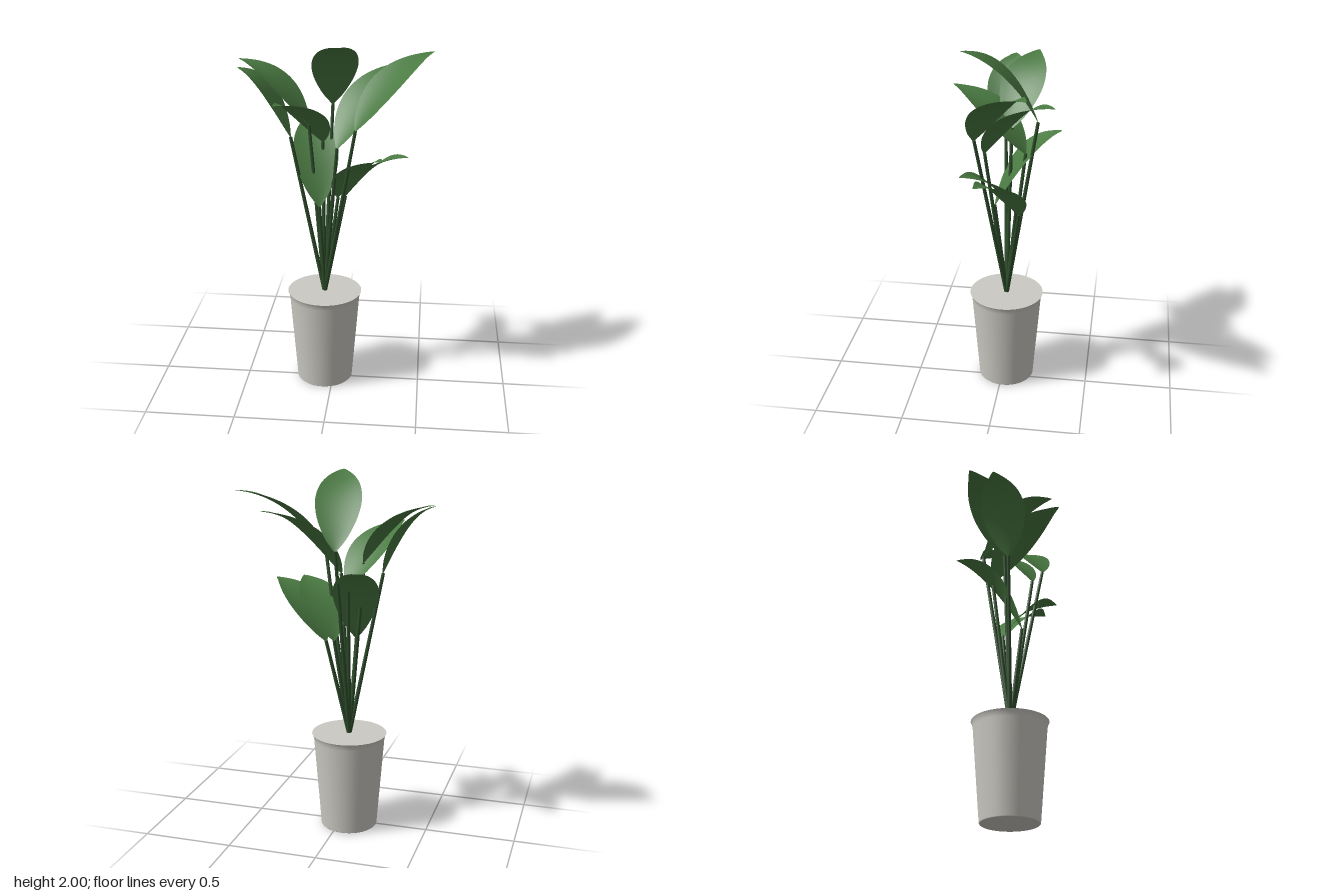
import * as THREE from 'three';

const ROOT = new THREE.Vector3(-0.05, 0.54, -0.02);

const potMat = new THREE.MeshStandardMaterial({ color: 0xcccac3, side: THREE.DoubleSide });
const stemMat = new THREE.MeshStandardMaterial({ color: 0x2f4f2c });
const leafMat = new THREE.MeshStandardMaterial({ color: 0x4a7a42, side: THREE.DoubleSide });

// Each leaf: base (top of its stem) and tip
const LEAVES = [
  [[0.13, 1.55, 0.13], [0.53, 1.91, -0.19]],
  [[0.03, 1.44, 0.09], [0.35, 1.82, -0.31]],
  [[-0.02, 1.61, -0.19], [0.05, 2.0, 0.21]],
  [[-0.135, 1.53, -0.035], [-0.53, 1.86, -0.14]],
  [[-0.23, 1.47, 0.01], [-0.515, 1.84, -0.01]],
  [[-0.07, 1.41, -0.12], [-0.275, 1.72, 0.31]],
  [[-0.07, 1.09, 0.05], [-0.16, 1.52, -0.31]],
  [[0.06, 1.1, -0.1], [0.41, 1.4, 0.09]],
  [[0.02, 1.1, -0.08], [0.28, 1.4, 0.185]],
];

// Half width of a leaf along its length
const outline = new THREE.SplineCurve([
  [0, 0.008], [0.1, 0.062], [0.25, 0.107], [0.42, 0.125], [0.6, 0.11],
  [0.76, 0.074], [0.88, 0.038], [0.95, 0.018], [1, 0.001],
].map(([t, w]) => new THREE.Vector2(t, w)));

// Arched blade: rises steeply from the base and flattens towards the tip
function leafGeometry(base, tip) {
  const span = tip.clone().sub(base);
  const bend = base.clone().add(new THREE.Vector3(span.x * 0.44, span.y * 0.9, span.z * 0.44));
  const midrib = new THREE.QuadraticBezierCurve3(base, bend, tip);
  const side = new THREE.Vector3(span.z, 0, -span.x).normalize();

  const geo = new THREE.PlaneGeometry(2, 1, 8, 28);
  const pos = geo.attributes.position;
  for (let i = 0; i < pos.count; i++) {
    const across = pos.getX(i);
    const { x: t, y: half } = outline.getPoint(pos.getY(i) + 0.5);
    const along = THREE.MathUtils.clamp(t, 0, 1);
    const p = midrib.getPoint(along);
    const up = new THREE.Vector3().crossVectors(midrib.getTangent(along), side);
    if (up.y < 0) up.negate();
    p.addScaledVector(side, across * half);
    p.addScaledVector(up, 0.12 * half * across * across);
    pos.setXYZ(i, p.x, p.y, p.z);
  }
  geo.computeVertexNormals();
  return geo;
}

// Straight, slightly tapered stem
function stemMesh(top) {
  const dir = top.clone().sub(ROOT);
  const mesh = new THREE.Mesh(new THREE.CylinderGeometry(0.009, 0.012, dir.length(), 10), stemMat);
  mesh.position.copy(ROOT).addScaledVector(dir, 0.5);
  mesh.quaternion.setFromUnitVectors(new THREE.Vector3(0, 1, 0), dir.normalize());
  mesh.name = 'stem';
  return mesh;
}

export function createModel() {
  const model = new THREE.Group();
  model.name = 'pottedPlant';

  // Tapered pot with a small flared lip
  const pot = new THREE.Group();
  pot.name = 'pot';
  pot.position.set(ROOT.x, 0, ROOT.z);
  const profile = [[0.155, 0], [0.159, 0.004], [0.199, 0.515], [0.203, 0.538], [0.21, 0.552]]
    .map(([r, y]) => new THREE.Vector2(r, y));
  const wall = new THREE.Mesh(new THREE.LatheGeometry(profile, 64), potMat);
  wall.name = 'potWall';
  pot.add(wall);

  // Flat discs close the pot at both ends
  for (const [name, radius, y, turn] of [['potBottom', 0.155, 0, 1], ['potTop', 0.21, 0.552, -1]]) {
    const disc = new THREE.Mesh(new THREE.CircleGeometry(radius, 64), potMat);
    disc.rotation.x = turn * Math.PI / 2;
    disc.position.y = y;
    disc.name = name;
    pot.add(disc);
  }
  model.add(pot);

  // Stems fan out from the centre of the pot, one leaf on each
  for (const [b, t] of LEAVES) {
    const base = new THREE.Vector3(...b);
    const leaf = new THREE.Mesh(leafGeometry(base, new THREE.Vector3(...t)), leafMat);
    leaf.name = 'leaf';
    model.add(stemMesh(base), leaf);
  }
  return model;
}
